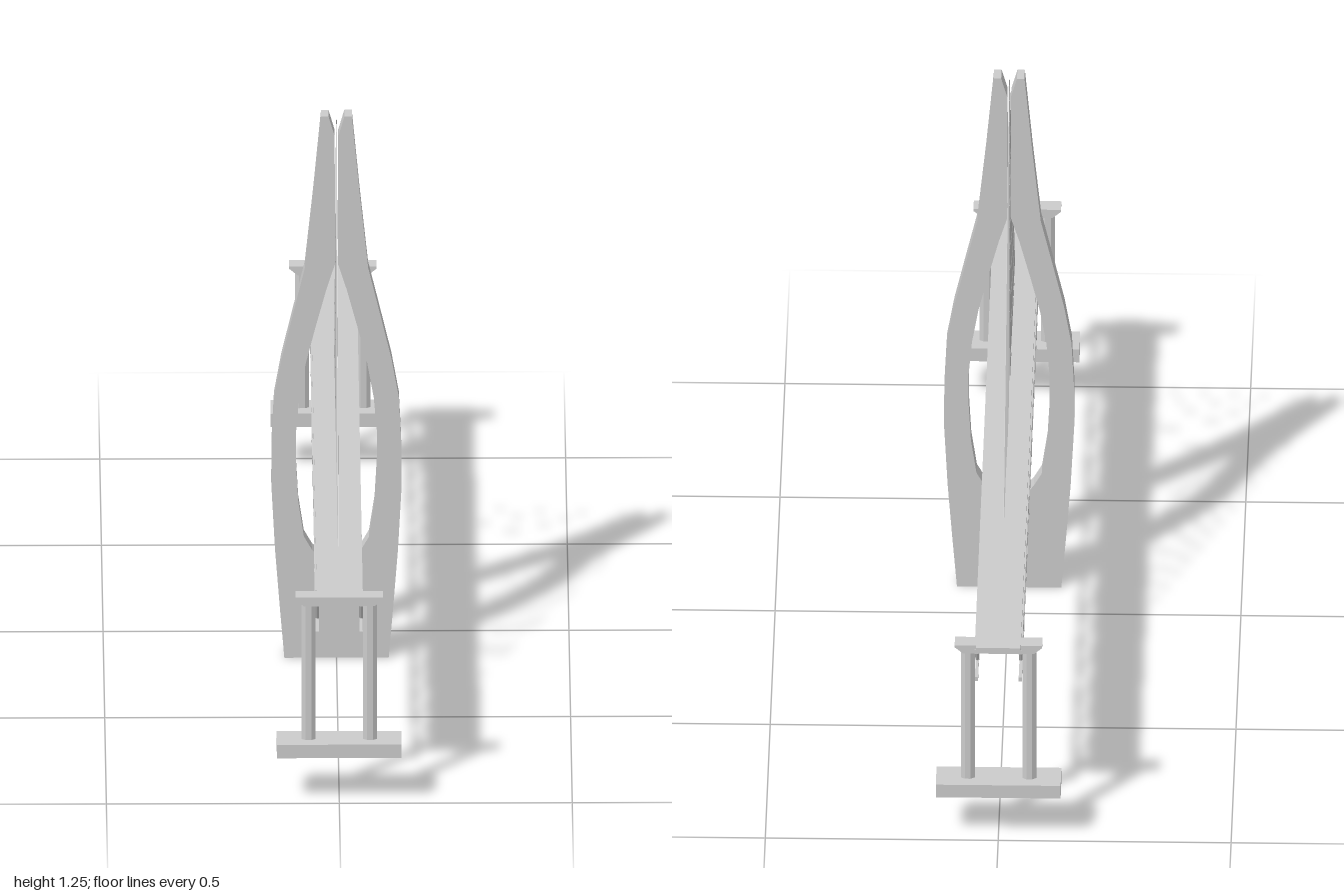
import * as THREE from 'three';

const material = new THREE.MeshStandardMaterial({ color: 0xcccccc, flatShading: true });
const PYLON_Z = 0.135;

function add(parent, name, geometry, x = 0, y = 0, z = 0) {
  const mesh = new THREE.Mesh(geometry, material);
  mesh.name = name;
  mesh.position.set(x, y, z);
  parent.add(mesh);
  return mesh;
}

// Straight bar of square or round section between two points
function bar(parent, name, a, b, radius, sides = 4) {
  const from = new THREE.Vector3(...a), to = new THREE.Vector3(...b);
  const dir = to.clone().sub(from);
  const mesh = add(parent, name, new THREE.CylinderGeometry(radius, radius, dir.length(), sides));
  mesh.position.copy(from).add(to).multiplyScalar(0.5);
  mesh.quaternion.setFromUnitVectors(new THREE.Vector3(0, 1, 0), dir.normalize());
  return mesh;
}

// Closed symmetric outline from its +x half, extruded along z and centred
function symmetricPrism(half, depth) {
  const mirrored = half.filter(([x]) => x > 0).map(([x, y]) => [-x, y]).reverse();
  const shape = new THREE.Shape([...half, ...mirrored].map(([x, y]) => new THREE.Vector2(x, y)));
  const geometry = new THREE.ExtrudeGeometry(shape, { depth, bevelEnabled: false });
  return geometry.translate(0, 0, -depth / 2);
}

// Two curved legs on a solid base, meeting in a narrow slot
function createPylon() {
  const outer = [[0.112, 0], [0.122, 0.12], [0.132, 0.25], [0.14, 0.4], [0.139, 0.5],
    [0.134, 0.6], [0.118, 0.69], [0.092, 0.8], [0.068, 0.9], [0.05, 1.07], [0.033, 1.25]];
  const inner = [[0.017, 1.25], [0.004, 1.205], [0.003, 0.91], [0.022, 0.85], [0.046, 0.76],
    [0.066, 0.68], [0.08, 0.6], [0.087, 0.52], [0.087, 0.45], [0.082, 0.36], [0.07, 0.28],
    [0.053, 0.25], [0, 0.187]];
  const pylon = new THREE.Group();
  pylon.name = 'pylon';
  add(pylon, 'pylonLegs', symmetricPrism([...outer, ...inner], 0.04), 0, 0, PYLON_Z);
  return pylon;
}

// Footing, two columns and a tapered cap beam
function createPier(side) {
  const pier = new THREE.Group();
  pier.name = side > 0 ? 'frontPier' : 'backPier';
  add(pier, 'footing', new THREE.BoxGeometry(0.268, 0.031, 0.08), 0, 0.12, side * 0.96);
  for (const x of [-0.066, 0.066]) {
    const column = new THREE.CylinderGeometry(0.0162, 0.0162, 0.32, 8).rotateY(Math.PI / 8);
    column.scale(1, 1, 0.7);
    add(pier, 'column', column, x, 0.292, side * 0.962);
  }
  const cap = symmetricPrism([[0.076, 0.447], [0.094, 0.462], [0.094, 0.467]], 0.038);
  add(pier, 'capBeam', cap, 0, 0, side * 0.96);
  return pier;
}

// Road slab with cross ribs below
function createDeck() {
  const deck = new THREE.Group();
  deck.name = 'deck';
  add(deck, 'slab', new THREE.BoxGeometry(0.096, 0.014, 1.98), 0, 0.463, -0.005);
  const ribs = 60;
  for (let i = 0; i <= ribs; i++) {
    add(deck, 'crossRib', new THREE.BoxGeometry(0.09, 0.008, 0.008), 0, 0.452, -0.975 + 1.95 * i / ribs);
  }
  return deck;
}

// Side truss: two chords and a zigzag web
function createTruss(x) {
  const truss = new THREE.Group();
  truss.name = x > 0 ? 'leftTruss' : 'rightTruss';
  add(truss, 'topChord', new THREE.BoxGeometry(0.008, 0.01, 1.96), x, 0.452, 0);
  add(truss, 'bottomChord', new THREE.BoxGeometry(0.007, 0.009, 1.96), x, 0.385, 0);
  const panels = 30, step = 1.92 / panels;
  for (let i = 0; i < panels; i++) {
    const y = [0.452, 0.385], z = -0.96 + i * step;
    bar(truss, 'diagonal', [x, y[i % 2], z], [x, y[(i + 1) % 2], z + step], 0.0042);
  }
  return truss;
}

// Central plane of stays fanning out on both sides of the pylon
function createCables() {
  const cables = new THREE.Group();
  cables.name = 'stayCables';
  const count = 12;
  for (const side of [-1, 1]) {
    for (let i = 0; i < count; i++) {
      const t = i / (count - 1);
      const top = [0, 0.66 + 0.57 * t, PYLON_Z + side * 0.012];
      const foot = [0, 0.468, PYLON_Z + side * (0.07 + 0.485 * t)];
      bar(cables, 'cable', top, foot, 0.001, 5);
    }
  }
  return cables;
}

export function createModel() {
  const model = new THREE.Group();
  model.name = 'cableStayedBridge';
  model.add(createPylon(), createDeck(), createCables());
  for (const side of [-1, 1]) model.add(createPier(side), createTruss(side * 0.047));
  return model;
}
